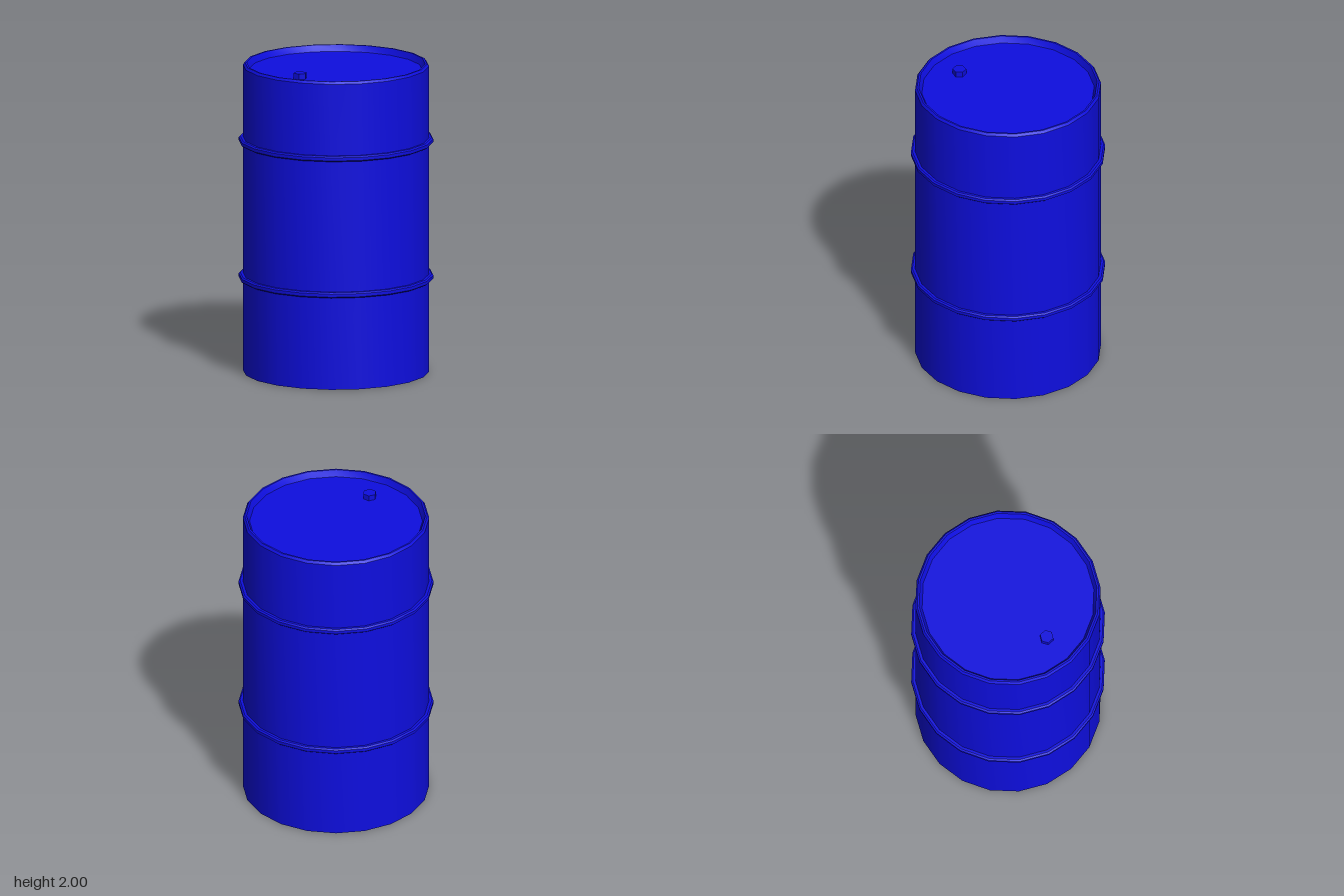
import * as THREE from 'three';
import { toCreasedNormals } from 'three/addons/utils/BufferGeometryUtils.js';

const SIDES = 20;

export function createModel() {
  const drum = new THREE.Group();
  drum.name = 'drum';
  const paint = new THREE.MeshStandardMaterial({ color: 0x0e0ee0 });

  const add = (name, geometry) => {
    const mesh = new THREE.Mesh(toCreasedNormals(geometry, 0.5), paint);
    mesh.name = name;
    drum.add(mesh);
    return mesh;
  };
  // Revolve a profile of [radius, height] pairs
  const turn = (points) =>
    new THREE.LatheGeometry(points.map(([r, y]) => new THREE.Vector2(r, y)), SIDES);

  // Shell: flat base, straight wall, bevelled rim and sunken lid
  add('shell', turn([
    [0, 0], [0.593, 0], [0.593, 1.985], [0.581, 2],
    [0.569, 2], [0.55, 1.96], [0, 1.96],
  ]));

  // Two rolling hoops with bevelled edges
  for (const [name, y] of [['lowerHoop', 0.617], ['upperHoop', 1.503]]) {
    add(name, turn([
      [0.585, -0.018], [0.61, -0.018], [0.62, -0.01],
      [0.62, 0.01], [0.61, 0.018], [0.585, 0.018],
    ])).position.y = y;
  }

  // Hexagonal bung on the lid
  const bung = new THREE.CylinderGeometry(0.044, 0.044, 0.04, 6);
  bung.rotateY(Math.PI / 6);
  add('bung', bung).position.set(0, 1.976, 0.363);

  return drum;
}
